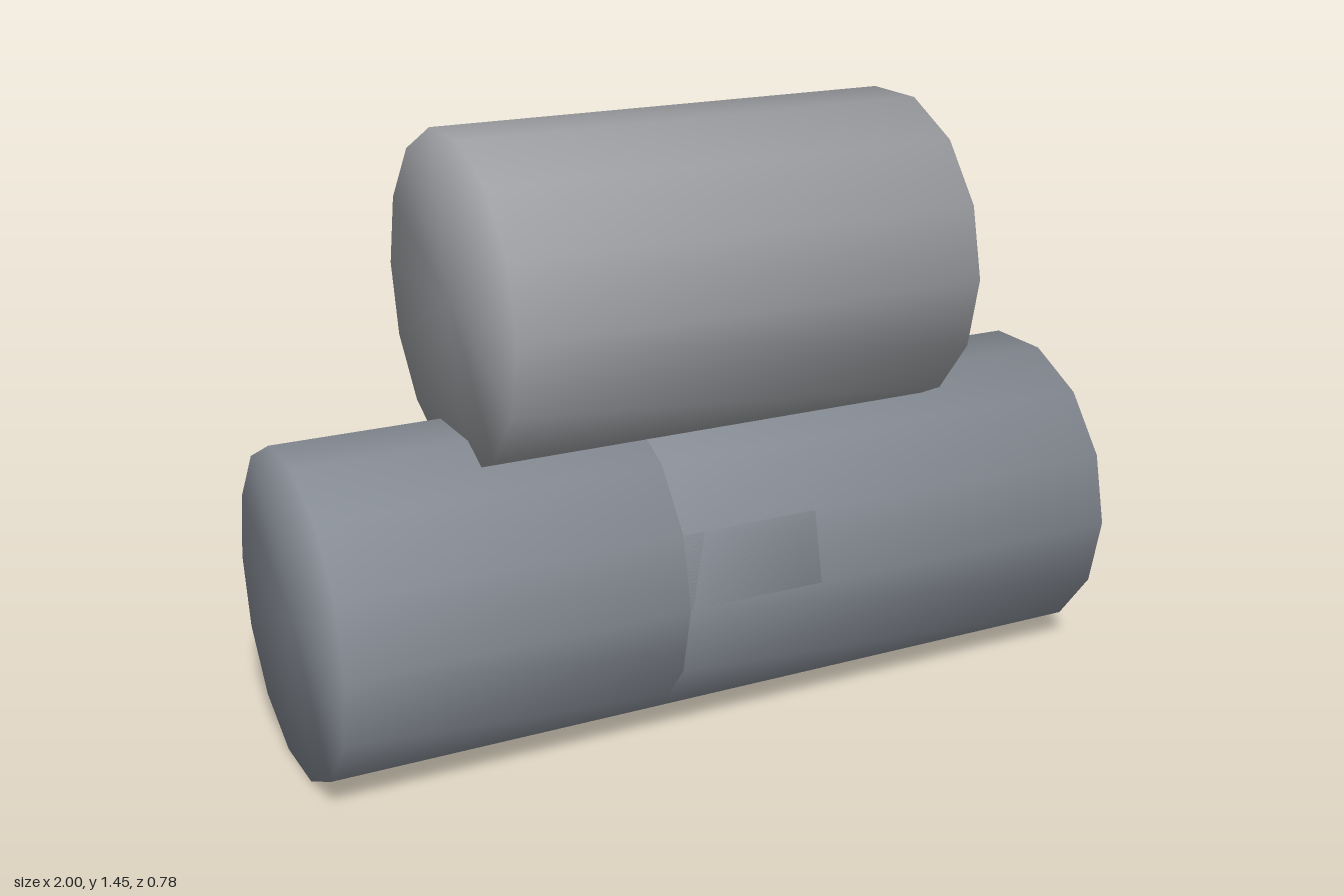
import * as THREE from 'three';
import { mergeVertices } from 'three/addons/utils/BufferGeometryUtils.js';

const RADIUS = 0.392, LENGTH = 1.174, SIDES = 14;
const HALF_HEIGHT = RADIUS * Math.cos(Math.PI / SIDES); // flat side faces down

// One log lying along x, with normals blended evenly between sides and ends
function logGeometry() {
  const raw = new THREE.CylinderGeometry(RADIUS, RADIUS, LENGTH, SIDES, 1);
  raw.rotateZ(Math.PI / 2);
  raw.deleteAttribute('normal');
  raw.deleteAttribute('uv');
  const geometry = mergeVertices(raw, 1e-4);
  geometry.computeVertexNormals();
  const { position, normal } = geometry.attributes;
  const n = new THREE.Vector3();
  for (let i = 0; i < position.count; i++) {
    n.fromBufferAttribute(position, i);
    n.set(Math.sign(n.x) * 0.85, n.y / RADIUS, n.z / RADIUS).normalize();
    normal.setXYZ(i, n.x, n.y, n.z);
  }
  return geometry;
}

export function createModel() {
  const model = new THREE.Group();
  model.name = 'logStack';
  const geometry = logGeometry();
  const lower = new THREE.MeshStandardMaterial({ color: 0x8c929b });
  const upper = new THREE.MeshStandardMaterial({ color: 0xa4a6aa });
  const offset = 1 - LENGTH / 2;

  // Two overlapping logs end to end, one resting on top
  const logs = [
    ['lowerRightLog', -offset, HALF_HEIGHT, lower],
    ['lowerLeftLog', offset, HALF_HEIGHT, lower],
    ['upperLog', 0, 1.07, upper],
  ];
  for (const [name, x, y, material] of logs) {
    const log = new THREE.Mesh(geometry, material);
    log.name = name;
    log.position.set(x, y, 0);
    model.add(log);
  }
  return model;
}
